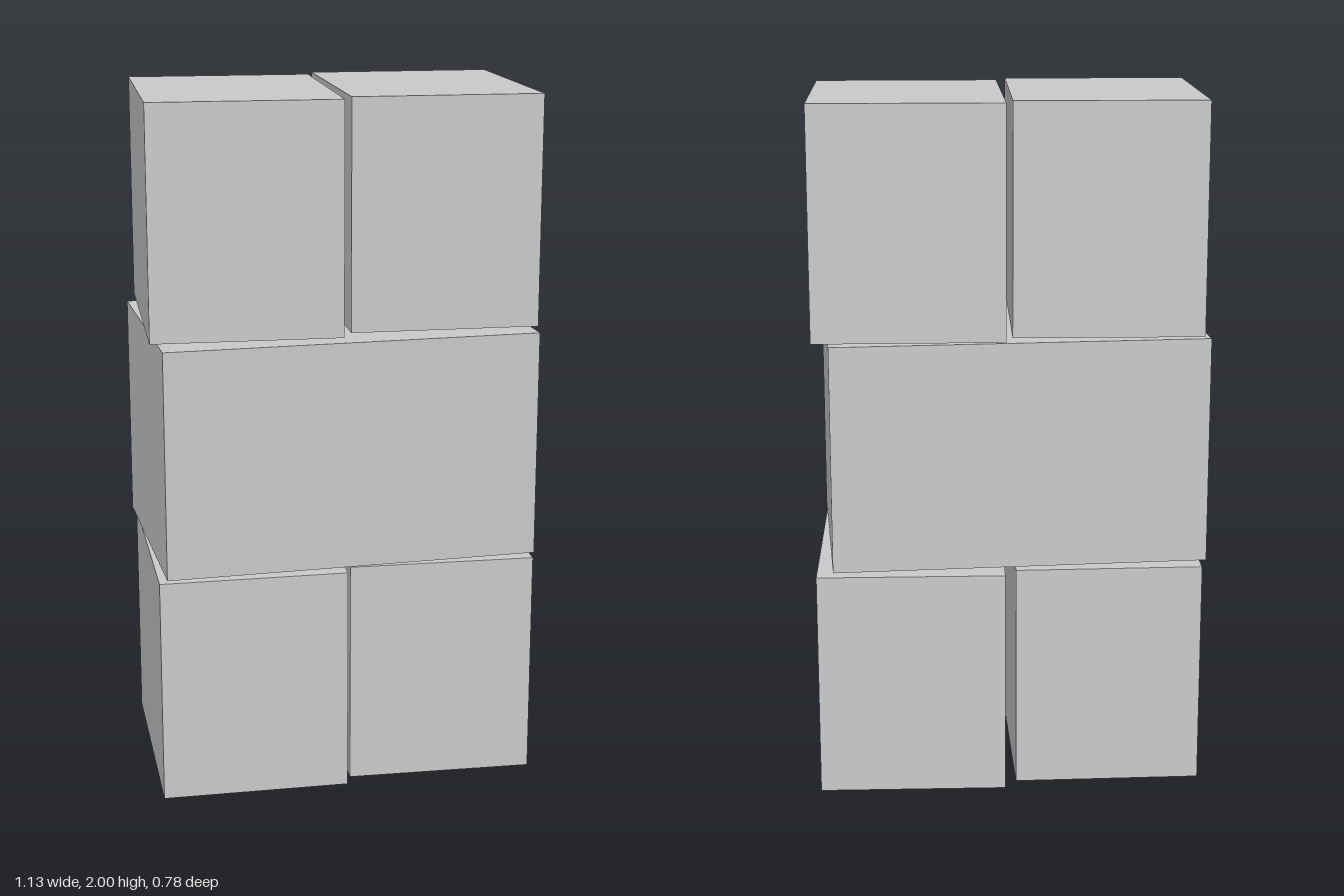
import * as THREE from 'three';

export function createModel() {
  const model = new THREE.Group();
  const material = new THREE.MeshStandardMaterial({ color: 0xcccccc, flatShading: true });
  const height = 0.657, depth = 0.705, pitch = 0.6715;

  // Stacked blocks, each slightly turned: name, layer, width, x, z, turn
  const blocks = [
    ['bottomLeftBlock', 0, 0.54, 0.28, -0.008, -0.037],
    ['bottomRightBlock', 0, 0.54, -0.285, 0.024, -0.012],
    ['middleLongBlock', 1, 1.08, -0.012, 0.018, 0.037],
    ['topLeftBlock', 2, 0.54, 0.282, -0.031, -0.03],
    ['topRightBlock', 2, 0.54, -0.284, 0.006, -0.042],
  ];
  for (const [name, layer, width, x, z, turn] of blocks) {
    const block = new THREE.Mesh(new THREE.BoxGeometry(width, height, depth), material);
    block.name = name;
    block.position.set(x, layer * pitch + height / 2, z);
    block.rotation.y = turn;
    model.add(block);
  }
  return model;
}
